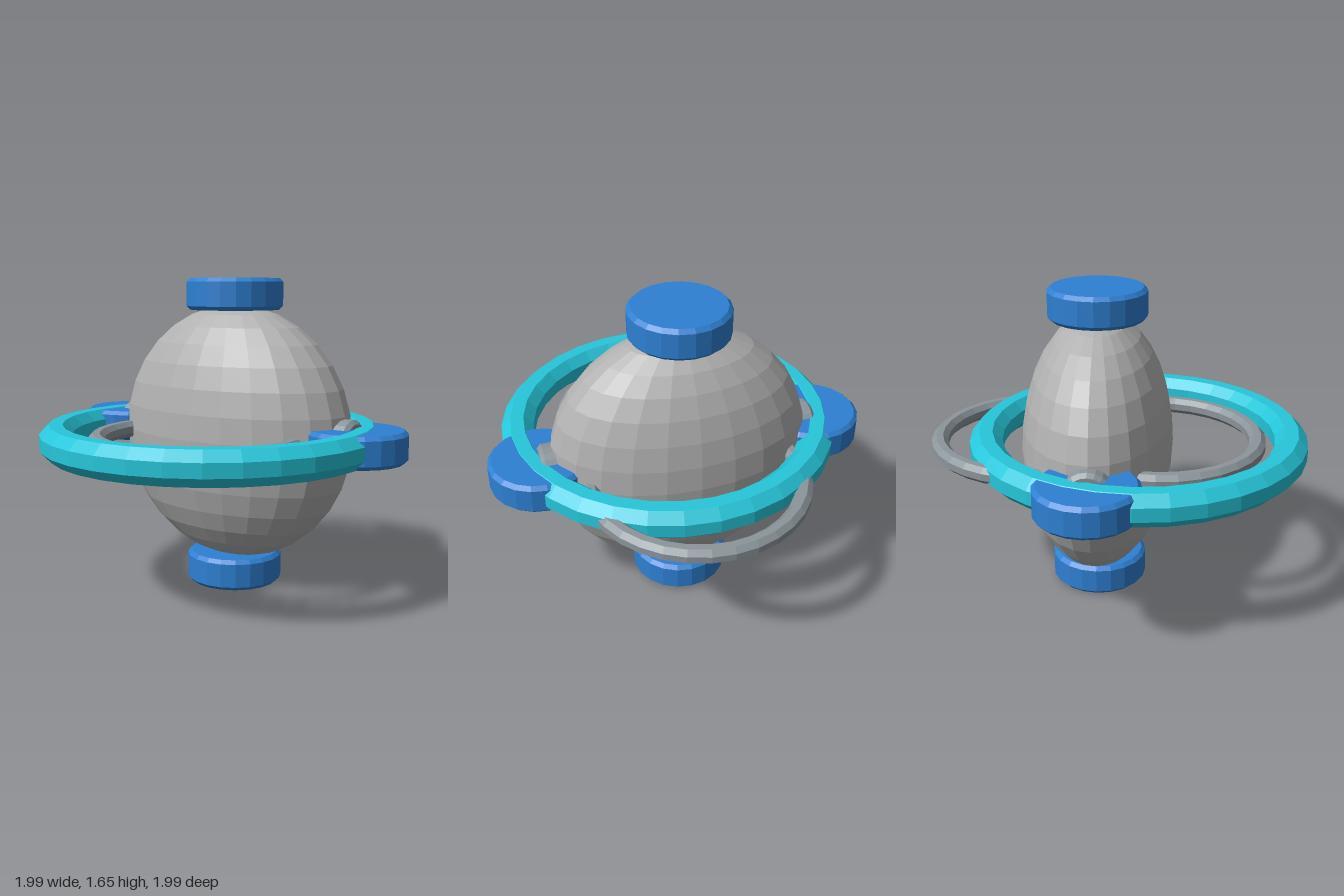
import * as THREE from 'three';

const mat = (name, color) => {
  const m = new THREE.MeshStandardMaterial({ color, flatShading: true });
  m.name = name;
  return m;
};

// Solid disc with a small chamfer on both rims, axis along y
function chamferedDisc(radius, height, bevel, sides) {
  const h = height / 2;
  return new THREE.LatheGeometry([
    new THREE.Vector2(0, -h),
    new THREE.Vector2(radius - bevel, -h),
    new THREE.Vector2(radius, -h + bevel),
    new THREE.Vector2(radius, h - bevel),
    new THREE.Vector2(radius - bevel, h),
    new THREE.Vector2(0, h),
  ], sides);
}

// Flat-lying ring whose octagonal section has a flat top
function octagonRing(radius, halfThickness, segments) {
  const r = halfThickness / Math.cos(Math.PI / 8);
  const profile = [];
  for (let i = 0; i <= 8; i++) {
    const a = Math.PI / 8 + (i * Math.PI) / 4;
    profile.push(new THREE.Vector2(radius + r * Math.cos(a), r * Math.sin(a)));
  }
  return new THREE.LatheGeometry(profile, segments);
}

export function createModel() {
  const model = new THREE.Group();
  const bodyGray = mat('bodyGray', 0xb0b0b0);
  const slate = mat('slateGray', 0x8b959b);
  const blue = mat('blue', 0x2e80d2);
  const teal = mat('teal', 0x26c6da);
  const midY = 0.823, midZ = -0.113;

  function add(name, geometry, material, x, y, z) {
    const mesh = new THREE.Mesh(geometry, material);
    mesh.name = name;
    mesh.position.set(x, y, z);
    model.add(mesh);
    return mesh;
  }

  // Flattened ellipsoid body
  const bodyGeo = new THREE.SphereGeometry(1, 24, 16);
  bodyGeo.scale(0.685, 0.685, 0.397);
  add('body', bodyGeo, bodyGray, 0, midY, midZ);

  // Top and bottom caps
  const cap = chamferedDisc(0.257, 0.166, 0.02, 20);
  add('topCap', cap, blue, 0, 1.563, midZ);
  add('bottomCap', cap, blue, 0, 0.083, midZ);

  // Side pods and the hubs that join them to the body
  const pod = chamferedDisc(0.257, 0.163, 0.02, 20);
  const hub = chamferedDisc(0.125, 0.16, 0.02, 20);
  hub.rotateZ(Math.PI / 2);
  for (const [side, s] of [['left', 1], ['right', -1]]) {
    add(side + 'Pod', pod, blue, s * 0.738, midY, midZ);
    add(side + 'Hub', hub, slate, s * 0.655, midY, midZ);
  }

  // Large ring around the body
  add('mainRing', octagonRing(0.805, 0.085, 32), teal, 0, midY, 0.1);

  // Two thin rings passing through the body
  const thinRing = octagonRing(0.532, 0.043, 32);
  add('frontRing', thinRing, slate, 0, midY, 0.2);
  add('backRing', thinRing, slate, 0, midY, -0.425);

  return model;
}
